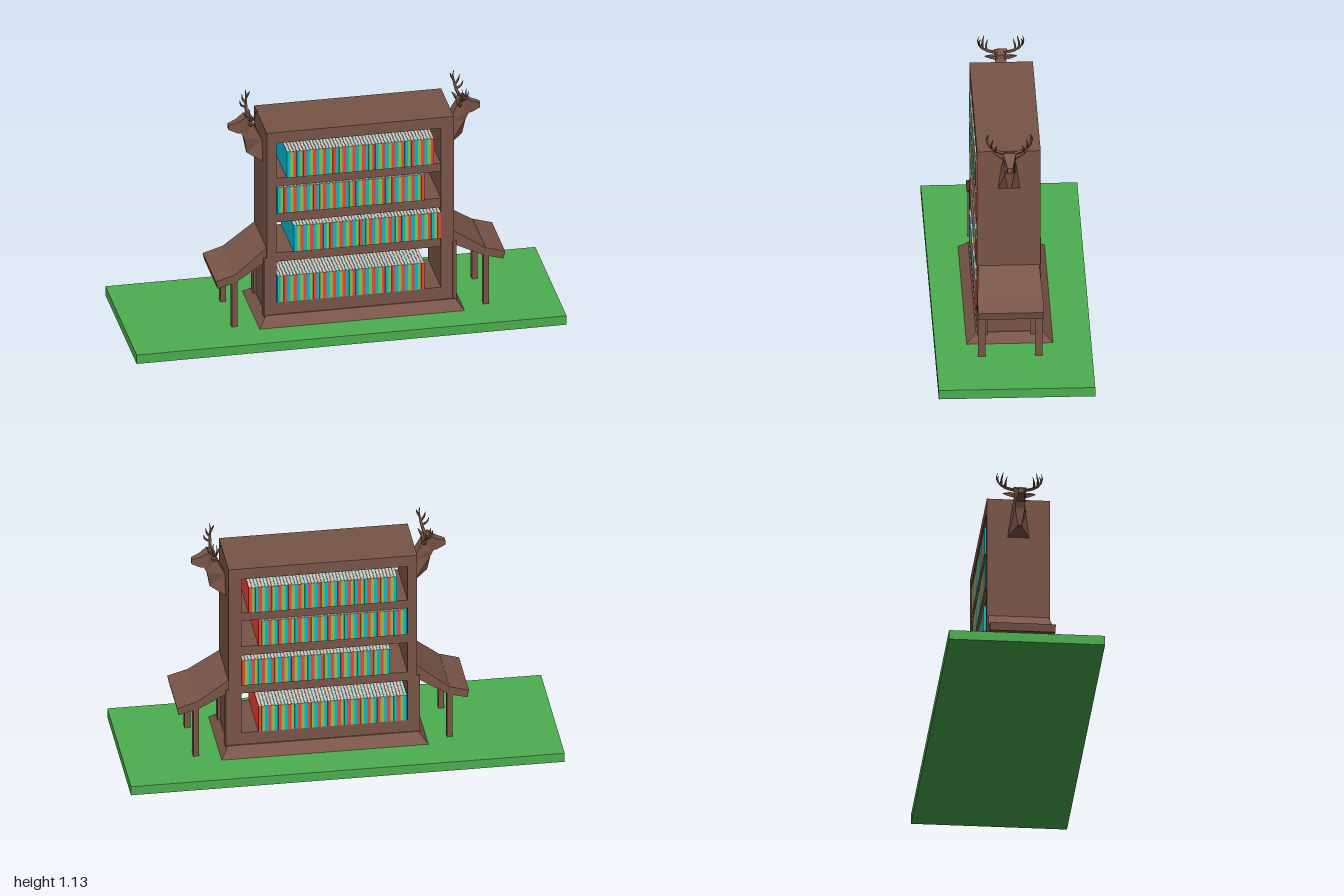
import * as THREE from 'three';

const paint = (color) => {
  const m = new THREE.MeshStandardMaterial({ flatShading: true });
  m.color.set(color);
  return m;
};
const wood = paint(0x795548), grass = paint(0x4caf50), paper = paint(0xf0f0f0);
const covers = [paint(0x00bcd4), paint(0x8bc34a), paint(0xf44336)];

function add(parent, name, geometry, material = wood) {
  const mesh = new THREE.Mesh(geometry, material);
  mesh.name = name;
  parent.add(mesh);
  return mesh;
}

// Box given by its limits on each axis
function box(parent, name, [x0, x1], [y0, y1], [z0, z1], material) {
  const mesh = add(parent, name, new THREE.BoxGeometry(x1 - x0, y1 - y0, z1 - z0), material);
  mesh.position.set((x0 + x1) / 2, (y0 + y1) / 2, (z0 + z1) / 2);
  return mesh;
}

// Capped solid through four-cornered cross-sections
function loft(sections) {
  const pos = [];
  const quad = (a, b, c, d) => pos.push(...a, ...b, ...c, ...a, ...c, ...d);
  for (let s = 0; s < sections.length - 1; s++) {
    const a = sections[s], b = sections[s + 1];
    for (let i = 0; i < 4; i++) {
      const j = (i + 1) % 4;
      quad(a[i], a[j], b[j], b[i]);
    }
  }
  const [a, b] = [sections[0], sections[sections.length - 1]];
  quad(a[3], a[2], a[1], a[0]);
  quad(b[0], b[1], b[2], b[3]);
  const g = new THREE.BufferGeometry();
  g.setAttribute('position', new THREE.Float32BufferAttribute(pos, 3));
  g.computeVertexNormals();
  return g;
}
// Upright section: inner and outer edge, each [x, y, half width]
const flat = ([x0, y0, w0], [x1, y1, w1]) =>
  [[x0, y0, w0], [x1, y1, w1], [x1, y1, -w1], [x0, y0, -w0]];
// Section across x: low and high y with half widths
const across = (x, y0, w0, y1 = y0, w1 = w0, lean = 0) =>
  [[x, y0, w0], [x, y0, -w0], [x + lean, y1, -w1], [x + lean, y1, w1]];

// Tapered limb along a curve
function limb(points, r, sides = 5, flatten = 1) {
  const curve = new THREE.CatmullRomCurve3(points.map((p) => new THREE.Vector3(...p)));
  const n = 6, g = new THREE.TubeGeometry(curve, n, r, sides);
  const p = g.attributes.position, v = new THREE.Vector3();
  for (let i = 0; i < p.count; i++) {
    const t = Math.floor(i / (sides + 1)) / n;
    const c = curve.getPointAt(t);
    v.fromBufferAttribute(p, i).sub(c).multiplyScalar(1 - 0.9 * t * t);
    v.x *= flatten;
    p.setXYZ(i, c.x + v.x, c.y + v.y, c.z + v.z);
  }
  g.computeVertexNormals();
  return g;
}

// Wall-mounted stag head pointing along +x, wall at x = 0
function stagHead() {
  const head = new THREE.Group();
  head.name = 'stagHead';
  add(head, 'neck', loft([
    flat([0, 0.825, 0.05], [0.066, 0.857, 0.008]),
    flat([0, 0.93, 0.036], [0.08, 0.935, 0.022]),
    flat([0.04, 1.01, 0.024], [0.1, 0.975, 0.022]),
  ]));
  add(head, 'skull', loft([
    across(0.04, 0.985, 0.018, 1.03, 0.018),
    across(0.075, 0.962, 0.024, 1.044, 0.03),
    across(0.11, 0.965, 0.02, 1.02, 0.02),
    across(0.15, 0.982, 0.012, 1.005, 0.012),
  ]));
  for (const s of [-1, 1]) {
    const m = (pts) => pts.map(([x, y, z]) => [x, y, z * s]);
    add(head, 'ear', limb(m([[0.055, 1.01, 0.02], [0.045, 1.02, 0.048], [0.035, 1.028, 0.075]]), 0.014, 5, 0.5));
    add(head, 'antler', limb(m([[0.06, 1.035, 0.015], [0.055, 1.042, 0.05], [0.05, 1.062, 0.085],
      [0.046, 1.095, 0.105], [0.05, 1.125, 0.1]]), 0.008));
    const tines = [
      [[0.053, 1.05, 0.065], [0.075, 1.062, 0.066], [0.085, 1.092, 0.058]],
      [[0.05, 1.06, 0.083], [0.066, 1.085, 0.083], [0.072, 1.116, 0.075]],
      [[0.047, 1.08, 0.098], [0.036, 1.1, 0.1], [0.03, 1.118, 0.092]],
    ];
    for (const t of tines) add(head, 'antlerTine', limb(m(t), 0.006));
  }
  return head;
}

// Sloping side bench, built along +x from the case centre
function sideBench(drop) {
  const bench = new THREE.Group();
  bench.name = 'sideBench';
  add(bench, 'slopingPanel', loft([
    across(0.432, 0.362, 0.138, 0.43, 0.138),
    across(0.585, 0.29 - drop, 0.15, 0.33 - drop, 0.15),
  ]));
  add(bench, 'seatSlab', loft([
    across(0.575, 0.295 - drop, 0.15, 0.333 - drop, 0.15, 0.008),
    across(0.665, 0.27 - drop, 0.15, 0.306 - drop, 0.15, 0.008),
  ]));
  for (const s of [-1, 1]) {
    const z = (a, b) => (s > 0 ? [a, b] : [-b, -a]);
    box(bench, 'outerLeg', [0.572, 0.598], [0.045, 0.305 - drop], z(0.113, 0.147));
    box(bench, 'innerLeg', [0.43, 0.448], [0.045, 0.38], z(0.098, 0.146));
  }
  return bench;
}

export function createModel() {
  const model = new THREE.Group();
  model.name = 'bookcaseScene';
  box(model, 'lawn', [-1, 1], [0, 0.045], [-0.357, 0.357], grass);

  // Open-backed case with shelves
  const frame = new THREE.Shape();
  frame.moveTo(-0.355, 0.045).lineTo(0.515, 0.045).lineTo(0.515, 1.015).lineTo(-0.355, 1.015).closePath();
  const opening = new THREE.Path();
  opening.moveTo(-0.31, 0.15).lineTo(-0.31, 0.96).lineTo(0.455, 0.96).lineTo(0.455, 0.15).closePath();
  frame.holes.push(opening);
  add(model, 'caseFrame', new THREE.ExtrudeGeometry(frame, { depth: 0.29, bevelEnabled: false }))
    .position.z = -0.128;
  for (const [y0, y1] of [[0.355, 0.4], [0.555, 0.602], [0.738, 0.78]])
    box(model, 'shelf', [-0.312, 0.457], [y0, y1], [-0.124, 0.158]);

  // Flared skirt
  const rect = (x0, x1, y, z0, z1) => [[x0, y, z1], [x1, y, z1], [x1, y, z0], [x0, y, z0]];
  add(model, 'skirt', loft([
    rect(-0.398, 0.555, 0.045, -0.183, 0.212),
    rect(-0.36, 0.52, 0.088, -0.134, 0.168),
  ]));

  // Rows of books: start x, shelf height
  const count = 45, pitch = 0.685 / count;
  for (const [start, y] of [[-0.262, 0.78], [-0.307, 0.602], [-0.23, 0.4], [-0.307, 0.15]]) {
    const row = new THREE.Group();
    row.name = 'bookRow';
    for (let i = 0; i < count; i++) {
      const x = start + i * pitch;
      box(row, 'bookCover', [x, x + pitch * 0.97], [y, y + 0.132], [-0.131, 0.166], covers[i % 3]);
      box(row, 'bookPages', [x + pitch * 0.14, x + pitch * 0.83], [y + 0.1, y + 0.1335], [-0.13, 0.165], paper);
    }
    model.add(row);
  }

  // Bench and stag head on both ends
  for (const [turn, drop] of [[0, 0], [Math.PI, 0.022]]) {
    const end = new THREE.Group();
    end.name = turn ? 'rightEnd' : 'leftEnd';
    end.position.set(0.08, 0, 0.017);
    end.rotation.y = turn;
    const head = stagHead();
    head.position.x = 0.435;
    end.add(sideBench(drop), head);
    model.add(end);
  }
  return model;
}
